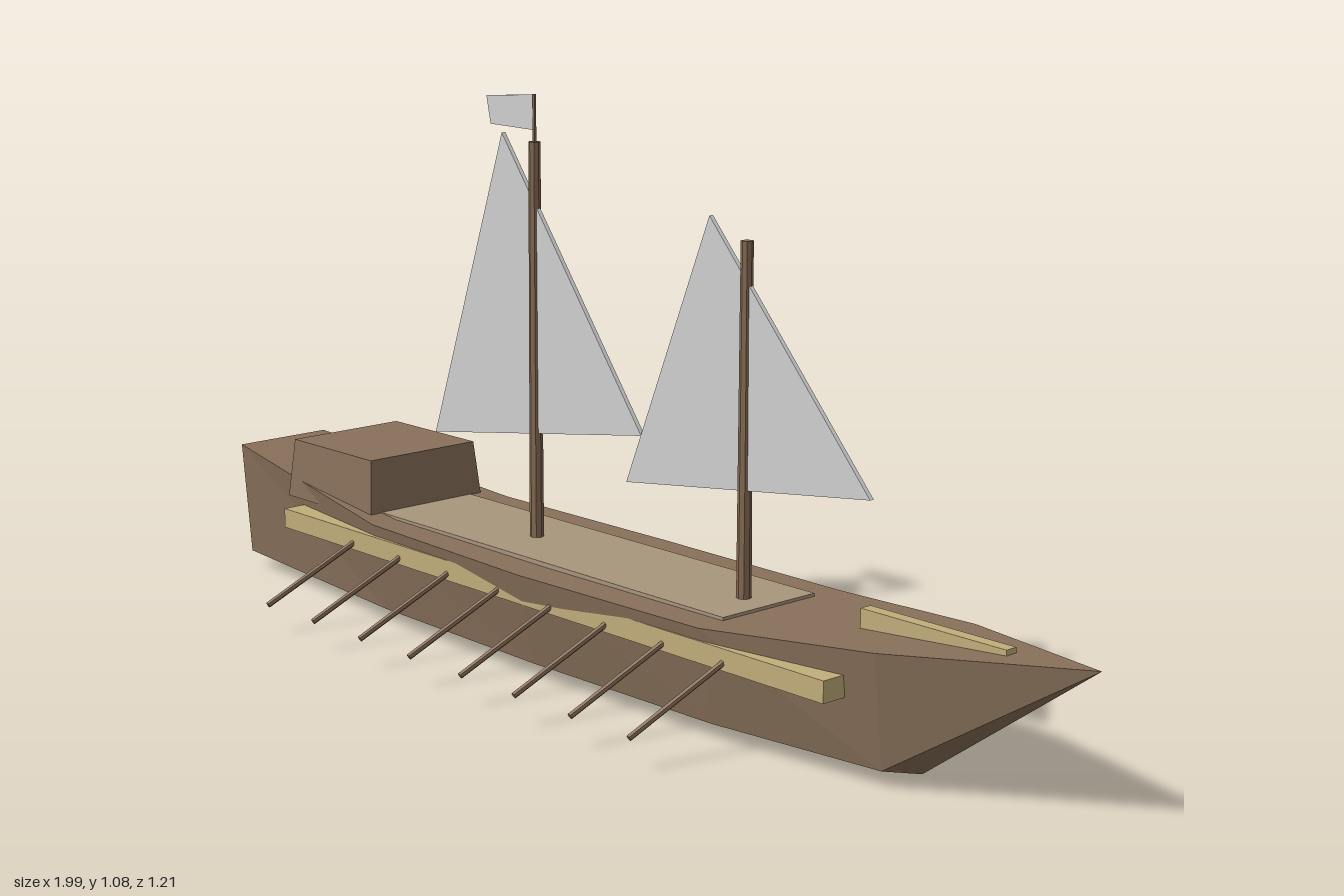
import * as THREE from 'three';

const paint = (name, color, extra = {}) => {
  const m = new THREE.MeshStandardMaterial({ color, flatShading: true, ...extra });
  m.name = name;
  return m;
};

export function createModel() {
  const hullWood = paint('hull wood', 0x88705a);
  const deckWood = paint('deck wood', 0xa8967d);
  const trimWood = paint('pale trim', 0xc2ae7a);
  const sparWood = paint('spar wood', 0x826850);
  const canvas = paint('sail cloth', 0xd0d0d0);
  const model = new THREE.Group();
  model.name = 'sailingGalley';

  // The ship lies along local x (bow at +x), then is turned on the water
  const ship = new THREE.Group();
  ship.name = 'ship';
  ship.rotation.y = -Math.PI / 6;
  ship.position.set(-0.0125, 0, 0.0217);
  model.add(ship);

  const add = (name, geometry, material, x = 0, y = 0, z = 0) => {
    const mesh = new THREE.Mesh(geometry, material);
    mesh.name = name;
    mesh.position.set(x, y, z);
    ship.add(mesh);
    return mesh;
  };
  const box = (name, material, x0, x1, y0, y1, z0, z1) =>
    add(name, new THREE.BoxGeometry(x1 - x0, y1 - y0, z1 - z0), material,
      (x0 + x1) / 2, (y0 + y1) / 2, (z0 + z1) / 2);

  // Straight round pole between two points
  const pole = (name, from, to, r0, r1, sides) => {
    const a = new THREE.Vector3(...from), b = new THREE.Vector3(...to);
    const dir = b.clone().sub(a);
    const mesh = add(name, new THREE.CylinderGeometry(r1, r0, dir.length(), sides), sparWood);
    mesh.position.copy(a).add(b).multiplyScalar(0.5);
    mesh.quaternion.setFromUnitVectors(new THREE.Vector3(0, 1, 0), dir.normalize());
  };

  // Hull: cross-sections [x, deck half width, deck height], then a pointed bow
  const sections = [
    [-1.077, 0.108, 0.27], [-0.52, 0.174, 0.211], [-0.05, 0.188, 0.208],
    [0.43, 0.178, 0.211], [0.795, 0.126, 0.24],
  ].map(([x, w, h]) => [
    [x, h, w], [x, 0.03, w * 0.82], [x, 0, 0], [x, 0.03, -w * 0.82], [x, h, -w],
  ]);
  const tip = [1.164, 0.27, 0];
  const points = [];
  const tri = (...corners) => corners.forEach((p) => points.push(...p));
  for (let i = 0; i < sections.length; i++) {
    const here = sections[i], next = sections[i + 1];
    for (let j = 0; j < 5; j++) {
      const k = (j + 1) % 5;
      if (next) {
        tri(here[j], here[k], next[k]);
        tri(here[j], next[k], next[j]);
      } else tri(here[j], here[k], tip);
    }
  }
  for (let j = 1; j < 4; j++) tri(sections[0][0], sections[0][j + 1], sections[0][j]);
  const hull = new THREE.BufferGeometry();
  hull.setAttribute('position', new THREE.Float32BufferAttribute(points, 3));
  hull.computeVertexNormals();
  add('hull', hull, hullWood);

  // Deck, bow beam and side rails
  box('deck', deckWood, -0.57, 0.425, 0.2, 0.217, -0.115, 0.115);
  box('bowBeam', trimWood, 0.657, 0.98, 0.225, 0.265, -0.0125, 0.0125);
  for (const s of [-1, 1]) {
    box(s > 0 ? 'leftRail' : 'rightRail', trimWood, -0.82, 0.73, 0.148, 0.188,
      s * 0.152 - 0.026, s * 0.152 + 0.026);
  }

  // Cabin with slightly tapered walls
  const cabin = new THREE.CylinderGeometry(0.132 * Math.SQRT2, 0.143 * Math.SQRT2, 0.12, 4);
  cabin.rotateY(Math.PI / 4);
  add('cabin', cabin, hullWood, -0.71, 0.265, 0);

  // Eight raked oars on each side
  for (const s of [-1, 1]) {
    for (let i = 0; i < 8; i++) {
      const x = -0.617 + i * 0.153;
      pole('oar', [x + 0.037, 0.17, s * 0.16], [x, 0.06, s * 0.363], 0.006, 0.006, 6);
    }
  }

  // Masts and flag pole
  pole('mainMast', [-0.217, 0.2, 0], [-0.217, 0.99, 0], 0.014, 0.0115, 8);
  pole('foreMast', [0.36, 0.2, 0], [0.36, 0.865, 0], 0.014, 0.0115, 8);
  pole('flagPole', [-0.217, 0.98, 0], [-0.217, 1.08, 0], 0.004, 0.004, 6);

  // Sails and flag: thin flat sheets along the centre line
  const sheet = (name, corners, depth) => {
    const shape = new THREE.Shape(corners.map(([x, y]) => new THREE.Vector2(x, y)));
    const geometry = new THREE.ExtrudeGeometry(shape, { depth, bevelEnabled: false });
    add(name, geometry, canvas, 0, 0, -depth / 2);
  };
  sheet('mainSail', [[-0.528, 0.375], [0.09, 0.47], [-0.309, 1.0]], 0.009);
  sheet('foreSail', [[0.049, 0.375], [0.667, 0.455], [0.2685, 0.9]], 0.009);
  sheet('flag', [[-0.345, 1.014], [-0.217, 1.012], [-0.217, 1.079], [-0.357, 1.068]], 0.005);

  return model;
}
